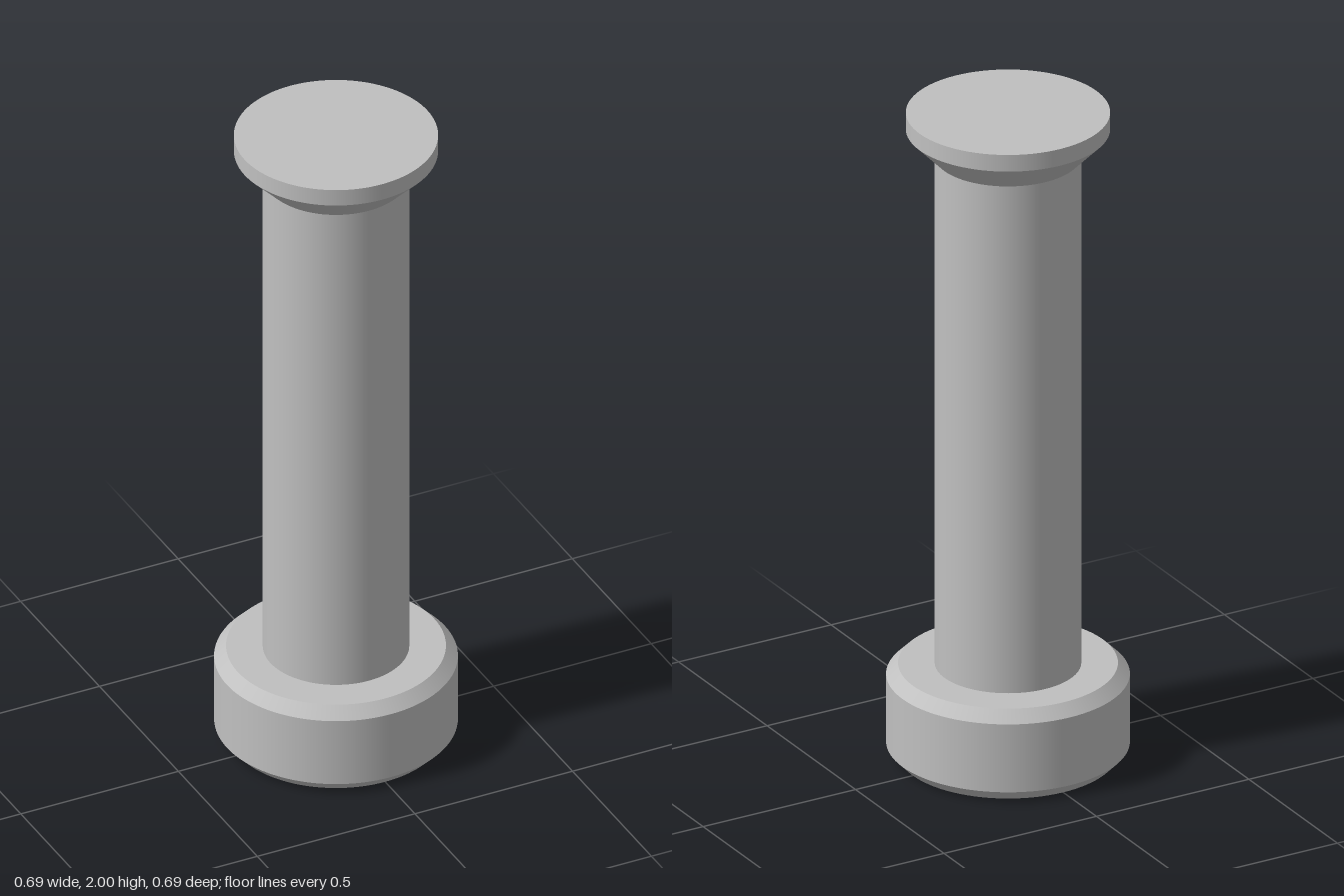
import * as THREE from 'three';

const SEGMENTS = 96;

// Lathe with crisp rings: each straight run of the profile gets its own smooth band.
function turned(name, profile, material) {
  const group = new THREE.Group();
  group.name = name;
  for (let i = 0; i < profile.length - 1; i++) {
    const run = [profile[i], profile[i + 1]].map(([r, y]) => new THREE.Vector2(r, y));
    const band = new THREE.Mesh(new THREE.LatheGeometry(run, SEGMENTS), material);
    band.name = `${name}Band${i + 1}`;
    group.add(band);
  }
  return group;
}

export function createModel() {
  const steel = new THREE.MeshStandardMaterial({ color: 0xc0c0c0 });
  steel.name = 'grey steel';
  const model = new THREE.Group();
  model.name = 'flangedPin';

  // Chamfered foot with a countersunk recess underneath
  model.add(turned('foot', [
    [0, 0.052], [0.106, 0.052], [0.158, 0], [0.312, 0], [0.346, 0.035],
    [0.346, 0.247], [0.312, 0.281], [0.208, 0.281],
  ], steel));

  // Plain round shaft
  model.add(turned('shaft', [[0.208, 0.281], [0.208, 1.864]], steel));

  // Flared head with a flat top
  model.add(turned('head', [
    [0.208, 1.864], [0.29, 1.948], [0.29, 2], [0, 2],
  ], steel));

  return model;
}
